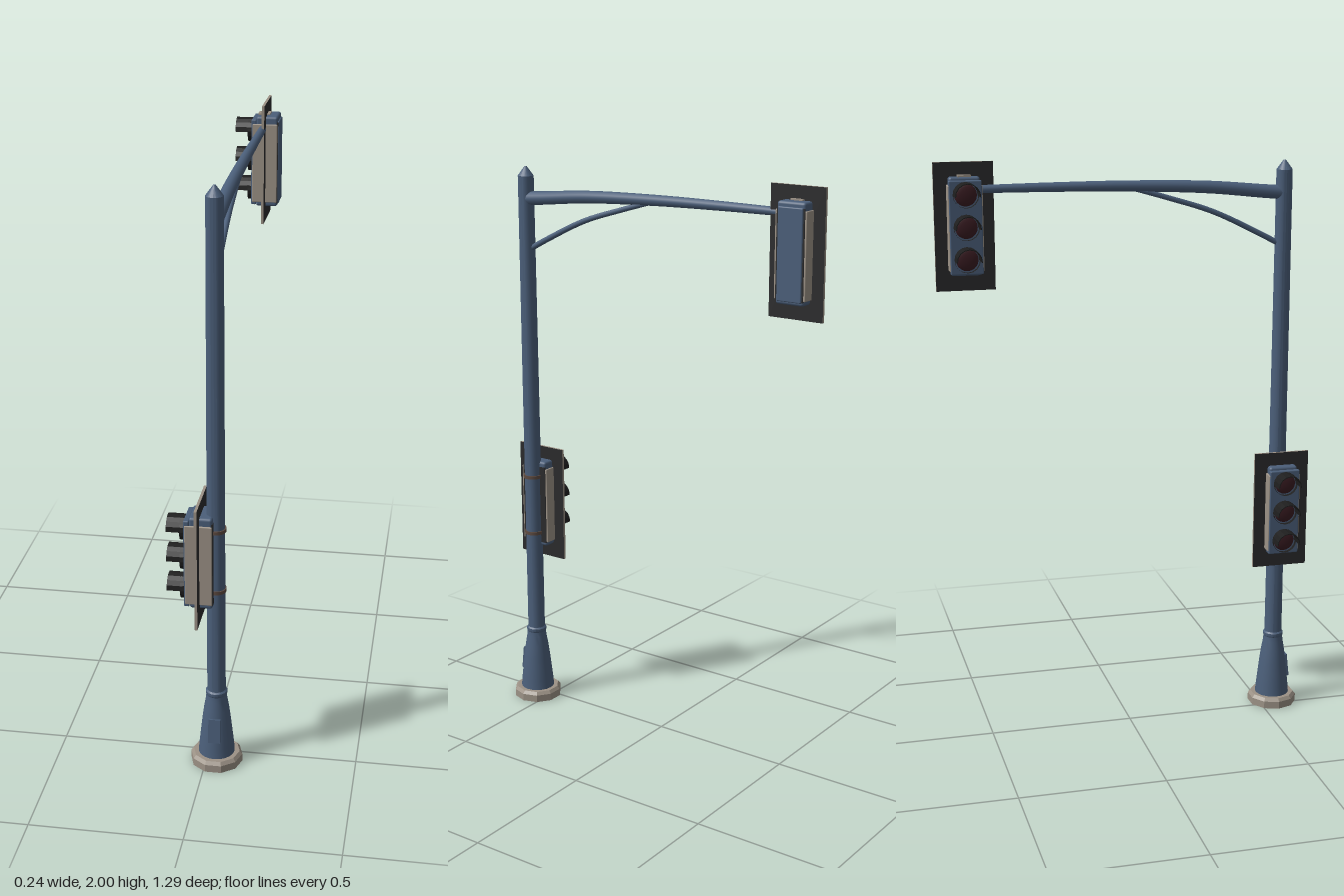
import * as THREE from 'three';
import { toCreasedNormals } from 'three/addons/utils/BufferGeometryUtils.js';
import { RoundedBoxGeometry } from 'three/addons/geometries/RoundedBoxGeometry.js';

const mat = (name, color, side = THREE.FrontSide) => {
  const m = new THREE.MeshStandardMaterial({ color, side });
  m.name = name;
  return m;
};

export function createModel() {
  const blue = mat('slate blue paint', 0x4b5f7a);
  const taupe = mat('taupe metal', 0x9c9286);
  const dark = mat('charcoal backplate', 0x2b2b2c);
  const black = mat('black visor', 0x1e1e1e, THREE.DoubleSide);
  const lensMat = mat('dark red lens', 0x3a1c22);
  const brown = mat('brown strap', 0x5f4c42);

  const model = new THREE.Group();
  model.name = 'trafficLight';
  const PX = 0.034, PZ = 0.55;

  const add = (parent, name, geo, material, x = 0, y = 0, z = 0) => {
    const m = new THREE.Mesh(geo, material);
    m.name = name;
    m.position.set(x, y, z);
    parent.add(m);
    return m;
  };
  const lathe = (pts, sides) => toCreasedNormals(
    new THREE.LatheGeometry(pts.map(([r, y]) => new THREE.Vector2(r, y)), sides), 0.5);

  // Tube along a curve, narrowing from r0 to r1
  const taperedTube = (points, r0, r1, sides = 14) => {
    const curve = new THREE.CatmullRomCurve3(points.map(([y, z]) => new THREE.Vector3(PX, y, z)));
    const n = 28;
    const geo = new THREE.TubeGeometry(curve, n, 1, sides);
    const p = geo.attributes.position, v = new THREE.Vector3();
    for (let i = 0; i <= n; i++) {
      const c = curve.getPointAt(i / n), r = r0 + (r1 - r0) * i / n;
      for (let j = 0; j <= sides; j++) {
        const k = i * (sides + 1) + j;
        v.fromBufferAttribute(p, k).sub(c).multiplyScalar(r).add(c);
        p.setXYZ(k, v.x, v.y, v.z);
      }
    }
    return geo;
  };

  // Foundation, flared foot and post with pointed cap
  const foundation = add(model, 'foundation', toCreasedNormals(lathe(
    [[0, 0], [0.087, 0], [0.087, 0.026], [0.078, 0.037], [0, 0.037]], 10), 0.3), taupe, PX, 0, PZ);
  foundation.rotation.y = Math.PI / 2;
  add(model, 'flaredFoot', lathe(
    [[0, 0.036], [0.061, 0.036], [0.058, 0.07], [0.048, 0.16], [0.042, 0.205], [0.036, 0.24],
      [0.034, 0.258], [0.036, 0.262], [0.036, 0.272], [0.03, 0.278]], 20), blue, PX, 0, PZ);
  add(model, 'post', lathe(
    [[0.031, 0.26], [0.0275, 1.95], [0.004, 1.982], [0, 1.982]], 20), blue, PX, 0, PZ);

  // Access door, leaning with the foot
  const door = add(model, 'accessDoor', new THREE.BoxGeometry(0.04, 0.085, 0.012), blue, PX, 0.14, PZ + 0.048);
  door.rotation.x = -0.11;

  // Mast arm and its curved brace
  add(model, 'mastArm', taperedTube(
    [[1.872, 0.55], [1.878, 0.48], [1.897, 0.28], [1.908, 0], [1.911, -0.25], [1.911, -0.51]], 0.024, 0.013),
    blue);
  add(model, 'armBrace', taperedTube(
    [[1.69, 0.55], [1.74, 0.455], [1.815, 0.296], [1.866, 0.137], [1.9, 0.02]], 0.01, 0.009, 10), blue);

  // Straps holding the lower signal
  for (const y of [0.65, 0.865]) {
    add(model, 'strap', lathe(
      [[0.029, -0.006], [0.034, -0.006], [0.034, 0.006], [0.029, 0.006]], 20), brown, PX, y, PZ);
  }

  // One signal head facing -x, its backplate at local x = 0
  const signalHead = (name, x, y, z) => {
    const g = new THREE.Group();
    g.name = name;
    g.position.set(x, y, z);
    model.add(g);

    add(g, 'housing', new RoundedBoxGeometry(0.076, 0.322, 0.102, 2, 0.009), blue, 0.008, 0.003, 0);
    add(g, 'backFrame', new THREE.BoxGeometry(0.004, 0.29, 0.1), dark, 0.045, 0, 0);
    add(g, 'frontDoor', new RoundedBoxGeometry(0.018, 0.305, 0.108, 2, 0.004), blue, -0.038, 0.001, 0);
    for (const s of [-1, 1]) {
      add(g, 'sidePanel', new RoundedBoxGeometry(0.088, 0.28, 0.008, 2, 0.003), taupe, 0.001, -0.002, s * 0.053);
    }
    // Dark faces with bare edges
    add(g, 'backplate', new THREE.BoxGeometry(0.009, 0.42, 0.197),
      [dark, dark, taupe, taupe, taupe, taupe]);

    // Three lenses, each with a short ring and a long faceted hood
    const tube = (len, start, arc, sides, r = 0.042) => toCreasedNormals(
      new THREE.CylinderGeometry(r, r, len, sides, 1, true, start, arc).rotateZ(Math.PI / 2), 0.2);
    for (const dy of [0.105, 0, -0.105]) {
      const ly = dy + 0.003;
      add(g, 'lens', new THREE.SphereGeometry(0.037, 20, 6, 0, Math.PI * 2, 0, Math.PI / 2)
        .scale(1, 0.25, 1).rotateZ(Math.PI / 2), lensMat, -0.0475, ly, 0);
      add(g, 'visorRing', tube(0.016, 0, Math.PI * 2, 16), black, -0.054, ly, 0);
      add(g, 'visorHood', tube(0.058, -0.05, Math.PI + 0.1, 8), black, -0.076, ly, 0);
      add(g, 'visorLining', tube(0.058, -0.05, Math.PI + 0.1, 8, 0.039), black, -0.076, ly, 0);
      add(g, 'visorLip', new THREE.RingGeometry(0.039, 0.042, 8, 1, -0.05, Math.PI + 0.1)
        .rotateY(-Math.PI / 2), black, -0.105, ly, 0);
    }
    return g;
  };

  signalHead('lowerSignal', -0.016, 0.757, PZ - 0.003);

  // The hanging signal also has a service door and a hatch on top
  const upper = signalHead('upperSignal', 0.041, 1.79, -0.547);
  add(upper, 'backDoor', new RoundedBoxGeometry(0.01, 0.295, 0.09, 2, 0.004), blue, 0.046, 0, 0);
  add(upper, 'topHatch', new THREE.BoxGeometry(0.042, 0.006, 0.044), taupe, -0.006, 0.166, 0);

  return model;
}
